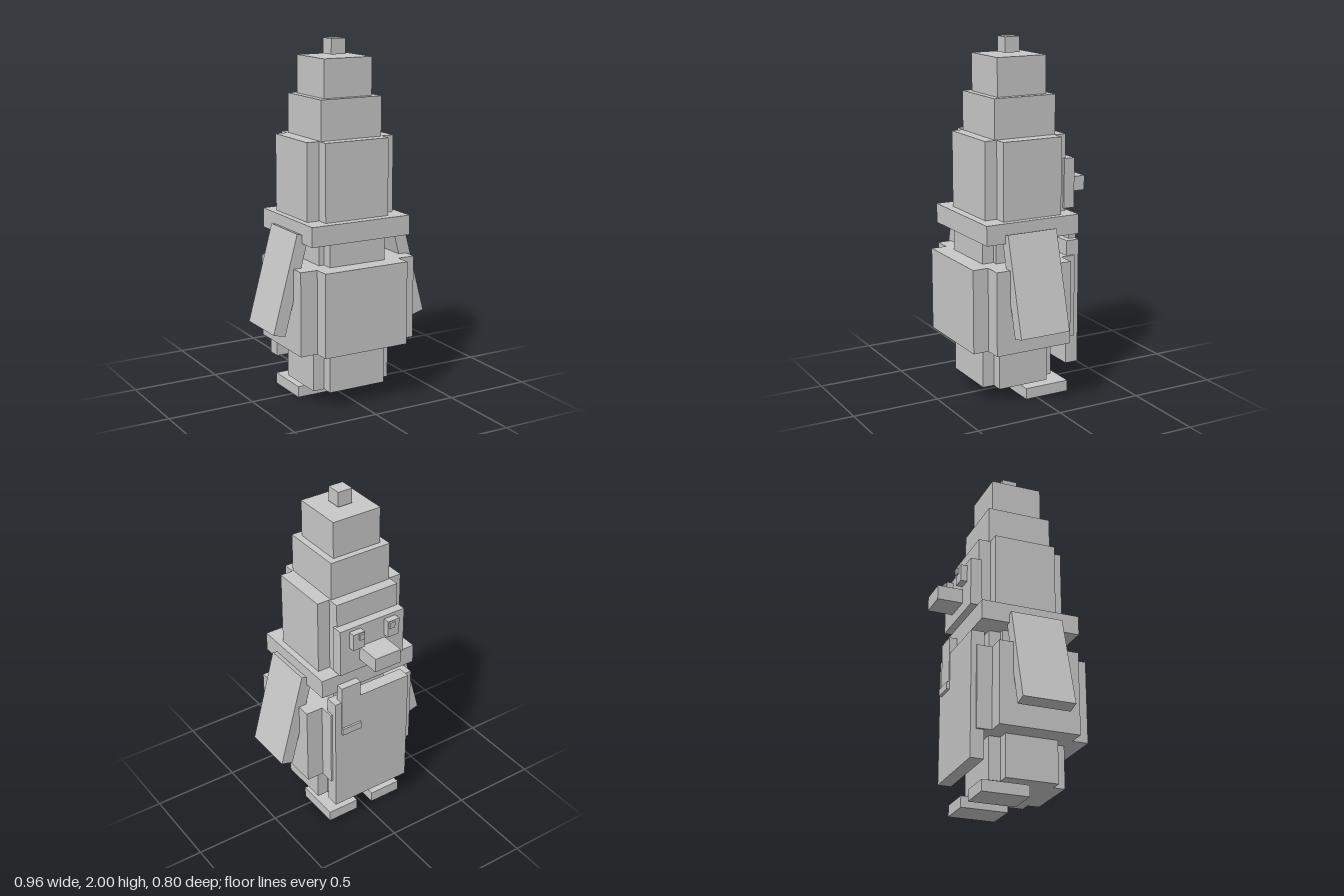
import * as THREE from 'three';

export function createModel() {
  const model = new THREE.Group();
  const grey = new THREE.MeshStandardMaterial({ color: 0xc8c8c8 });
  grey.name = 'plain grey';

  // Box from its limits on each axis
  function block(name, [x0, x1], [y0, y1], [z0, z1]) {
    const mesh = new THREE.Mesh(new THREE.BoxGeometry(x1 - x0, y1 - y0, z1 - z0), grey);
    mesh.position.set((x0 + x1) / 2, (y0 + y1) / 2, (z0 + z1) / 2);
    mesh.name = name;
    model.add(mesh);
    return mesh;
  }
  // Box centred on x
  const centred = (name, halfWidth, y, z) => block(name, [-halfWidth, halfWidth], y, z);

  // Body: two crossed boxes per tier give the notched corners
  centred('lowerBodyCore', 0.172, [0.09, 0.94], [-0.133, 0.3]);
  centred('lowerBodySides', 0.24, [0.09, 0.34], [-0.066, 0.233]);
  centred('neckSides', 0.204, [0.78, 0.94], [-0.066, 0.233]);
  centred('waistCore', 0.257, [0.33, 0.8], [-0.233, 0.4]);
  centred('waistSides', 0.357, [0.33, 0.8], [-0.147, 0.31]);
  centred('bellyPanel', 0.246, [0.17, 0.885], [-0.263, -0.187]);

  // Scarf with its hanging end
  centred('scarf', 0.305, [0.935, 1.045], [-0.225, 0.342]);
  block('scarfTail', [0.083, 0.207], [0.67, 0.98], [-0.268, -0.222]);
  block('scarfFringe', [0.083, 0.207], [0.67, 0.712], [-0.28, -0.26]);

  // Head and face
  centred('headCore', 0.195, [1.045, 1.475], [-0.204, 0.293]);
  centred('headSides', 0.269, [1.045, 1.475], [-0.135, 0.222]);
  centred('facePlate', 0.208, [1.06, 1.34], [-0.255, -0.19]);
  centred('beak', 0.082, [1.12, 1.203], [-0.4, -0.25]);

  // Stepped hat
  centred('hatBottom', 0.187, [1.475, 1.695], [-0.142, 0.23]);
  centred('hatTop', 0.148, [1.695, 1.905], [-0.106, 0.192]);
  centred('hatTip', 0.044, [1.915, 2.0], [0, 0.088]);

  // Paired parts
  for (const [side, s] of [['left', 1], ['right', -1]]) {
    const span = (a, b) => (s > 0 ? [a, b] : [-b, -a]);
    block(side + 'Foot', span(0.053, 0.245), [0, 0.063], [-0.2, 0.067]);
    block(side + 'Eye', span(0.076, 0.15), [1.222, 1.32], [-0.292, -0.25]);
    block(side + 'Pupil', span(0.083, 0.115), [1.28, 1.315], [-0.303, -0.285]);

    // Flipper leaning outward at the bottom
    const flipper = block(side + 'Flipper', span(0.336, 0.408), [0.43, 0.99], [-0.068, 0.23]);
    flipper.rotation.z = s * 0.264;
  }

  return model;
}
